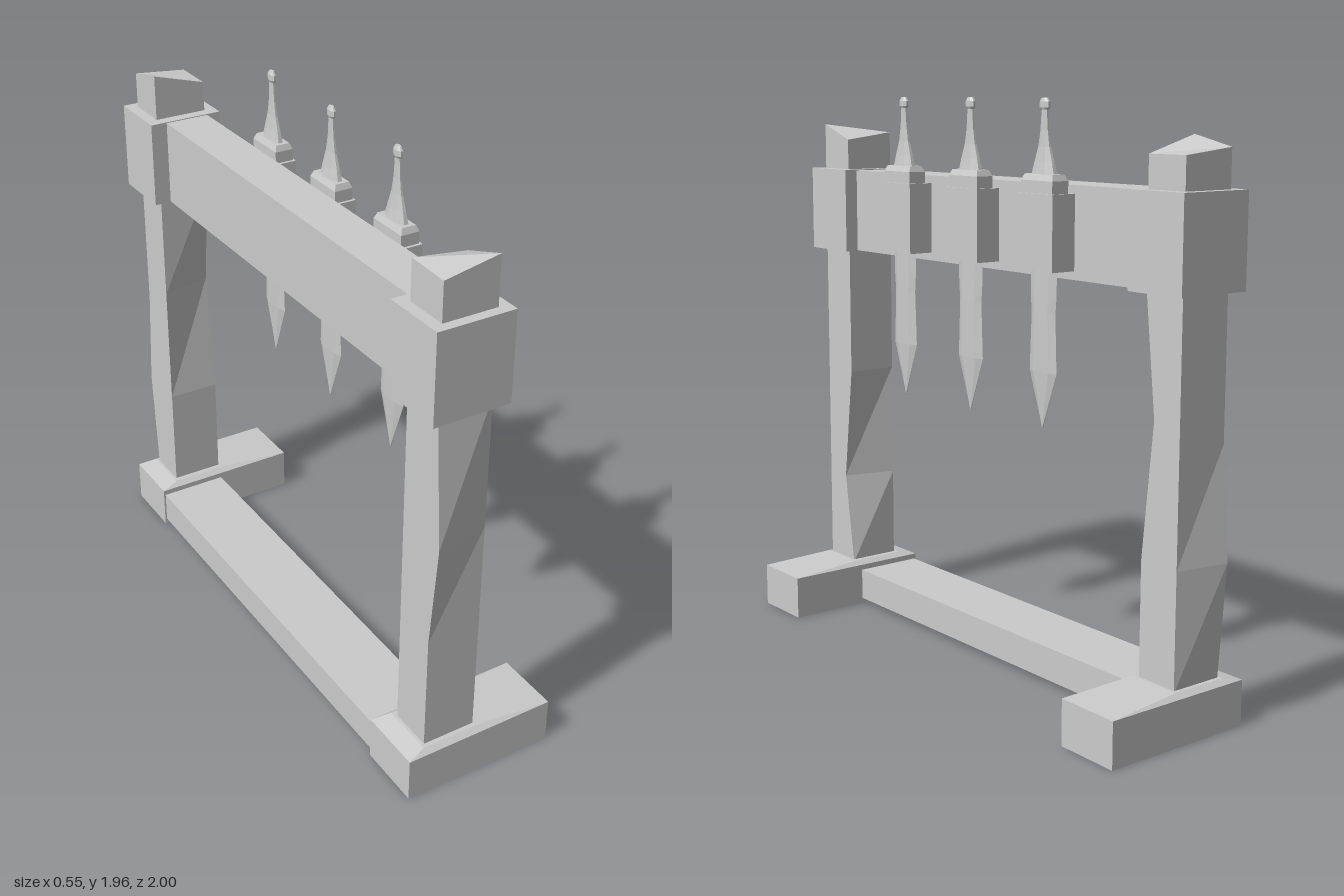
import * as THREE from 'three';

const material = new THREE.MeshStandardMaterial({ color: 0xcccccc, flatShading: true });

function addMesh(parent, name, geometry) {
  const mesh = new THREE.Mesh(geometry, material);
  mesh.name = name;
  parent.add(mesh);
  return mesh;
}

// Box given by its limits on each axis
function box(parent, name, [x0, x1], [y0, y1], [z0, z1]) {
  const g = new THREE.BoxGeometry(x1 - x0, y1 - y0, z1 - z0);
  g.translate((x0 + x1) / 2, (y0 + y1) / 2, (z0 + z1) / 2);
  return addMesh(parent, name, g);
}

// Faceted solid through rings of [x, y, z], bottom to top, counter-clockwise from above
function loft(rings) {
  const out = [];
  const tri = (a, b, c) => out.push(...a, ...b, ...c);
  const n = rings[0].length;
  for (let i = 0; i < rings.length - 1; i++) {
    for (let j = 0; j < n; j++) {
      const k = (j + 1) % n;
      tri(rings[i][j], rings[i][k], rings[i + 1][k]);
      tri(rings[i][j], rings[i + 1][k], rings[i + 1][j]);
    }
  }
  const bottom = rings[0], top = rings[rings.length - 1];
  for (let j = 1; j < n - 1; j++) {
    tri(top[0], top[j], top[j + 1]);
    tri(bottom[0], bottom[j + 1], bottom[j]);
  }
  const g = new THREE.BufferGeometry();
  g.setAttribute('position', new THREE.Float32BufferAttribute(out, 3));
  g.computeVertexNormals();
  return g;
}

// Rectangular ring; ys is one height or one per corner
function rect(x0, x1, z0, z1, ys) {
  const y = Array.isArray(ys) ? ys : [ys, ys, ys, ys];
  return [[x1, y[0], z1], [x1, y[1], z0], [x0, y[2], z0], [x0, y[3], z1]];
}

// Hand-hewn post: each bend moves one corner of a ring along z
function post(z0, z1, lowerY, upperY, topY, lowerBend, upperBend) {
  const ring = (y) => rect(-0.2, -0.01, z0, z1, y);
  const lower = ring(lowerY), upper = ring(upperY);
  lower[lowerBend[0]][2] = lowerBend[1];
  upper[upperBend[0]][2] = upperBend[1];
  return loft([ring(0.16), lower, upper, ring(1.41), ring(topY)]);
}

// Sword hanging point down, with its holder, around z = 0
function sword() {
  const group = new THREE.Group();
  const cx = 0.033;
  box(group, 'holder', [-0.022, 0.073], [1.42, 1.665], [-0.087, 0.087]);
  addMesh(group, 'guard', loft([
    rect(0, 0.066, -0.077, 0.077, 1.64),
    rect(0, 0.066, -0.077, 0.077, 1.705),
    rect(0.008, 0.058, -0.068, 0.068, 1.725),
  ]));

  // Blade: flat middle with bevelled edges; rows are [y, half width, half thickness]
  const blade = [[0.905, 0.002, 0.002], [1.09, 0.067, 0.011], [1.28, 0.059, 0.012],
    [1.34, 0.064, 0.012], [1.44, 0.065, 0.012]];
  addMesh(group, 'blade', loft(blade.map(([y, w, t]) => [
    [cx + t, y, w * 0.55], [cx + t, y, -w * 0.55], [cx, y, -w],
    [cx - t, y, -w * 0.55], [cx - t, y, w * 0.55], [cx, y, w],
  ])));

  // Flaring grip and small pommel, eight-sided and flattened
  const grip = [[1.72, 0.055, 0.02], [1.76, 0.044, 0.014], [1.81, 0.027, 0.009],
    [1.86, 0.018, 0.007], [1.925, 0.013, 0.007], [1.932, 0.021, 0.01],
    [1.95, 0.021, 0.01], [1.963, 0.012, 0.006]];
  addMesh(group, 'grip', loft(grip.map(([y, w, t]) =>
    Array.from({ length: 8 }, (_, i) => {
      const a = (i + 0.5) * Math.PI / 4;
      return [cx + 1.08 * t * Math.cos(a), y, -1.08 * w * Math.sin(a)];
    }))));
  return group;
}

export function createModel() {
  const model = new THREE.Group();
  model.name = 'swordRack';

  // Feet and joint blocks at both ends
  for (const [side, z0, z1] of [['left', 0.77, 1], ['right', -1, -0.77]]) {
    addMesh(model, side + 'Foot', loft([
      rect(-0.277, 0.275, z0, z1, 0),
      rect(-0.277, 0.275, z0, z1, 0.155),
      rect(-0.21, 0, z0 + 0.02, z1 - 0.02, 0.17),
    ]));
    box(model, side + 'JointBlock', [-0.24, 0.03], [1.39, 1.695], [z0, z1]);
  }

  // Posts with uneven, slanted tops
  addMesh(model, 'leftPost', post(0.81, 0.965,
    [0.55, 0.5, 0.5, 0.58], [0.95, 0.92, 0.92, 0.95], [1.86, 1.805, 1.83, 1.825],
    [1, 0.86], [3, 1]));
  addMesh(model, 'rightPost', post(-0.965, -0.81,
    [0.55, 0.55, 0.55, 0.55], [1, 0.92, 0.92, 1], [1.8, 1.8, 1.82, 1.855],
    [2, -0.995], [0, -0.855]));

  // Cross beams
  box(model, 'upperBeam', [-0.18, -0.02], [1.392, 1.692], [-0.78, 0.78]);
  box(model, 'lowerBeam', [-0.27, -0.02], [0.02, 0.135], [-0.78, 0.78]);

  // Three hanging swords
  [0.383, 0, -0.383].forEach((z, i) => {
    const s = sword();
    s.name = 'sword' + (i + 1);
    s.position.z = z;
    model.add(s);
  });
  return model;
}
